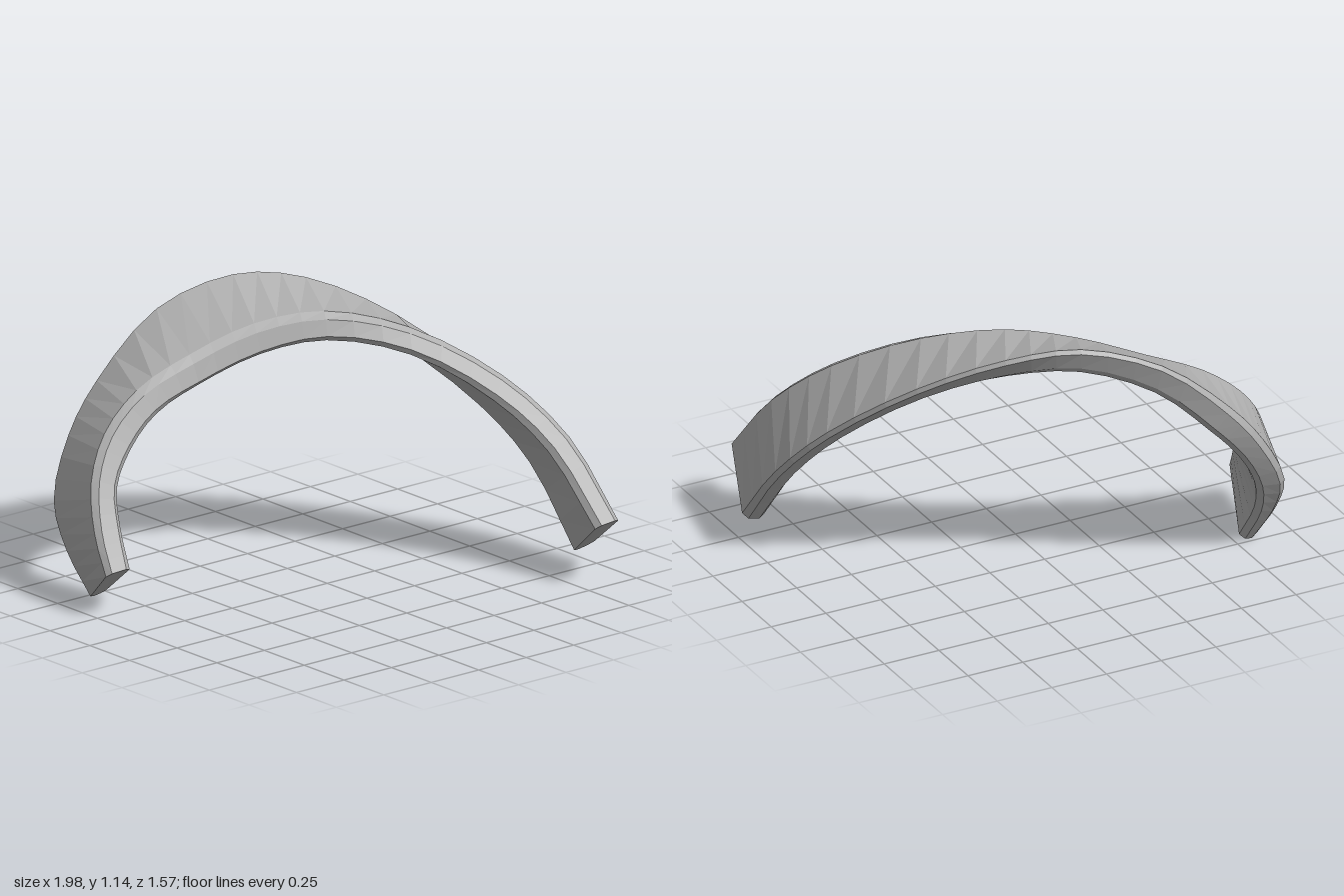
import * as THREE from 'three';

// Four long edges of the band, paired by station from the right end to the left end
const EDGES = {
  outerFront: [[-1, .21, -.19], [-.97, .36, -.29], [-.9, .54, -.39], [-.78, .7, -.45], [-.6, .84, -.46], [-.36, .94, -.42],
    [-.1, 1.04, -.33], [.15, 1.08, -.19], [.42, 1.015, .02], [.68, .83, .3], [.83, .6, .54], [.88, .3, .79]],
  outerBack: [[-.85, .01, -.48], [-.88, .18, -.6], [-.86, .36, -.71], [-.73, .6, -.775], [-.57, .8, -.79], [-.27, 1.06, -.765],
    [.05, 1.165, -.66], [.33, 1.12, -.535], [.62, .95, -.31], [.87, .67, -.01], [.985, .42, .21], [.985, .1, .49]],
  innerBack: [[-.77, .02, -.48], [-.78, .2, -.6], [-.74, .36, -.68], [-.64, .53, -.73], [-.5, .69, -.75], [-.26, .92, -.72],
    [.03, 1.04, -.62], [.29, 1.01, -.47], [.54, .87, -.24], [.76, .62, .04], [.865, .4, .23], [.89, .08, .48]],
  innerFront: [[-.88, .22, -.18], [-.84, .36, -.28], [-.79, .5, -.36], [-.68, .63, -.4], [-.54, .74, -.41], [-.35, .82, -.38],
    [-.1, .92, -.29], [.13, .97, -.15], [.38, .92, .08], [.6, .75, .34], [.72, .56, .54], [.765, .285, .78]],
};
const SEGMENTS = 33;
const BEVEL = 0.025;

// Point on the way from a to b, a fixed distance from a
const toward = (a, b, d) => b.clone().sub(a).setLength(d).add(a);

// Bevelled rectangular section: eight points in order around the band
function section(corners) {
  const points = [];
  corners.forEach((c, k) => {
    const before = toward(c, corners[(k + 3) % 4], BEVEL);
    const after = toward(c, corners[(k + 1) % 4], BEVEL);
    points.push(before, after);
  });
  return points;
}

export function createModel() {
  const group = new THREE.Group();
  group.name = 'curvedBand';
  const grey = new THREE.MeshStandardMaterial({ color: 0xb0b0b0, flatShading: true });
  grey.name = 'grey';

  const curves = Object.values(EDGES).map(
    (pts) => new THREE.CatmullRomCurve3(pts.map((p) => new THREE.Vector3(...p))));

  // Skin the sections along the four edge curves
  const positions = [];
  const index = [];
  for (let i = 0; i <= SEGMENTS; i++) {
    const corners = curves.map((c) => c.getPoint(i / SEGMENTS));
    section(corners).forEach((p) => positions.push(p.x, p.y, p.z));
    if (i === SEGMENTS) break;
    for (let j = 0; j < 8; j++) {
      const a = i * 8 + j, b = i * 8 + (j + 1) % 8;
      index.push(a, b + 8, b, a, a + 8, b + 8);
    }
  }

  // Flat end faces
  const last = SEGMENTS * 8;
  for (let j = 1; j < 7; j++) {
    index.push(0, j, j + 1, last, last + j + 1, last + j);
  }

  const geometry = new THREE.BufferGeometry();
  geometry.setAttribute('position', new THREE.Float32BufferAttribute(positions, 3));
  geometry.setIndex(index);
  const flat = geometry.toNonIndexed();
  flat.computeVertexNormals();

  const band = new THREE.Mesh(flat, grey);
  band.name = 'band';
  group.add(band);
  return group;
}
